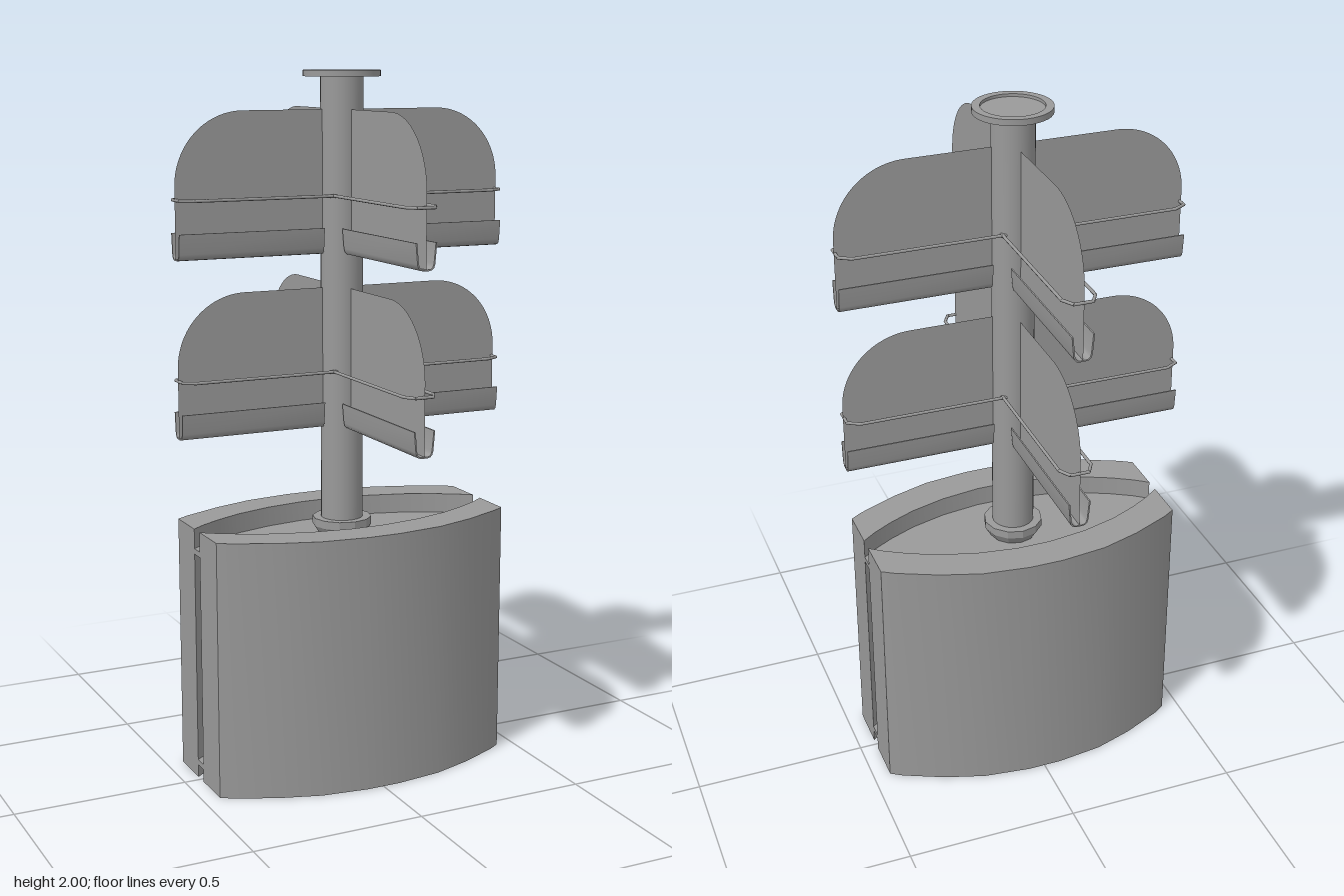
import * as THREE from 'three';
import { toCreasedNormals } from 'three/addons/utils/BufferGeometryUtils.js';

const material = new THREE.MeshStandardMaterial({ color: 0x9a9a9a, side: THREE.DoubleSide });

function add(parent, geometry, name) {
  const mesh = new THREE.Mesh(geometry, material);
  mesh.name = name;
  parent.add(mesh);
  return mesh;
}

const shapeOf = (points) => new THREE.Shape(points.map(([x, y]) => new THREE.Vector2(x, y)));
// mirror half a curve (listed from +x to the centre) over to -x
const mirrored = (half) => [...half, ...half.map(([x, y]) => [-x, y]).reverse()];

// extrude a plan outline upwards from y0 to y1
function slab(points, y0, y1) {
  const geo = new THREE.ExtrudeGeometry(shapeOf(points), { depth: y1 - y0, bevelEnabled: false });
  geo.rotateX(-Math.PI / 2).translate(0, y0, 0);
  return toCreasedNormals(geo, 0.4);
}

// straight round rod between two points
function rod(parent, a, b, radius) {
  const geo = new THREE.CylinderGeometry(radius, radius, a.distanceTo(b) + radius * 0.6, 8);
  const mesh = add(parent, geo, 'wireSegment');
  mesh.position.copy(a).lerp(b, 0.5);
  mesh.quaternion.setFromUnitVectors(new THREE.Vector3(0, 1, 0), b.clone().sub(a).normalize());
}

function createBase() {
  const base = new THREE.Group();
  base.name = 'base';
  const outer = mirrored([[0.45, 0.145], [0.415, 0.167], [0.3, 0.219], [0.185, 0.256], [0.05, 0.273]]);
  const inner = mirrored([[0.45, 0.02], [0.41, 0.05], [0.35, 0.085], [0.27, 0.122], [0.165, 0.153], [0.05, 0.17]]);

  // two curved half shells with a slot between them
  for (const side of [0, 1]) {
    const shell = add(base, slab([...outer, ...inner.slice().reverse()], 0, 0.74), side ? 'frontShell' : 'backShell');
    shell.rotation.y = side * Math.PI;
  }
  // recessed lens-shaped panels closing the hollow
  const lens = [...inner, ...inner.map(([x, y]) => [-x, -y])];
  add(base, slab(lens, 0.667, 0.683), 'topPanel');
  add(base, slab(lens, 0.037, 0.053), 'bottomPanel');
  return base;
}

// one arm along +x, with its lower edge at y = 0
function createArm() {
  const arm = new THREE.Group();
  arm.name = 'displayArm';

  // thin back plate with a large rounded outer corner
  const plate = new THREE.Shape();
  plate.moveTo(0.05, 0.004);
  plate.lineTo(0.497, 0.004);
  plate.lineTo(0.497, 0.197);
  plate.absarc(0.297, 0.197, 0.2, 0, Math.PI / 2, false);
  plate.lineTo(0.05, 0.397);
  add(arm, new THREE.ShapeGeometry(plate, 12), 'plate');

  // trough with slightly flared walls and a rounded bottom
  const outside = mirrored([[0.031, 0.073], [0.026, 0.018], [0.023, 0.008], [0.017, 0.002], [0.008, 0]]);
  const inside = mirrored([[0.027, 0.073], [0.022, 0.019], [0.019, 0.01], [0.014, 0.005], [0.007, 0.004]]);
  const troughGeo = new THREE.ExtrudeGeometry(shapeOf([...outside, ...inside.reverse()]), { depth: 0.43, bevelEnabled: false });
  troughGeo.rotateY(Math.PI / 2).translate(0.067, 0, 0);
  add(arm, toCreasedNormals(troughGeo, 0.7), 'trough');

  // wire rail looping around the plate
  const wire = new THREE.Group();
  wire.name = 'wireRail';
  arm.add(wire);
  const path = [[0.035, 0.045], [0.46, 0.045], [0.493, 0.026], [0.493, -0.026], [0.46, -0.045], [0.035, -0.045]]
    .map(([x, z]) => new THREE.Vector3(x, 0.162, z));
  for (let i = 1; i < path.length; i++) rod(wire, path[i - 1], path[i], 0.0045);
  return arm;
}

export function createModel() {
  const model = new THREE.Group();
  model.name = 'displayStand';
  model.add(createBase());

  // central post
  add(model, new THREE.CylinderGeometry(0.06, 0.06, 1.915, 32).translate(0, 1.0325, 0), 'post');

  // faceted, tapered collar where the post enters the base
  const collar = [[0.06, 0.683], [0.068, 0.683], [0.085, 0.71], [0.085, 0.733], [0.06, 0.733]];
  const collarGeo = new THREE.LatheGeometry(collar.map(([x, y]) => new THREE.Vector2(x, y)), 12);
  add(model, toCreasedNormals(collarGeo, 0.4), 'collar');

  // cap with a shallow dished top
  const cap = [[0, 1.983], [0.108, 1.983], [0.108, 2], [0.086, 2], [0.086, 1.992], [0, 1.992]];
  const capGeo = new THREE.LatheGeometry(cap.map(([x, y]) => new THREE.Vector2(x, y)), 40);
  add(model, toCreasedNormals(capGeo, 0.4), 'cap');

  // two tiers of four arms
  for (const y of [1.004, 1.497]) {
    const tier = new THREE.Group();
    tier.name = 'armTier';
    tier.position.y = y;
    for (let i = 0; i < 4; i++) {
      const arm = createArm();
      arm.rotation.y = (i * Math.PI) / 2;
      tier.add(arm);
    }
    model.add(tier);
  }
  return model;
}
